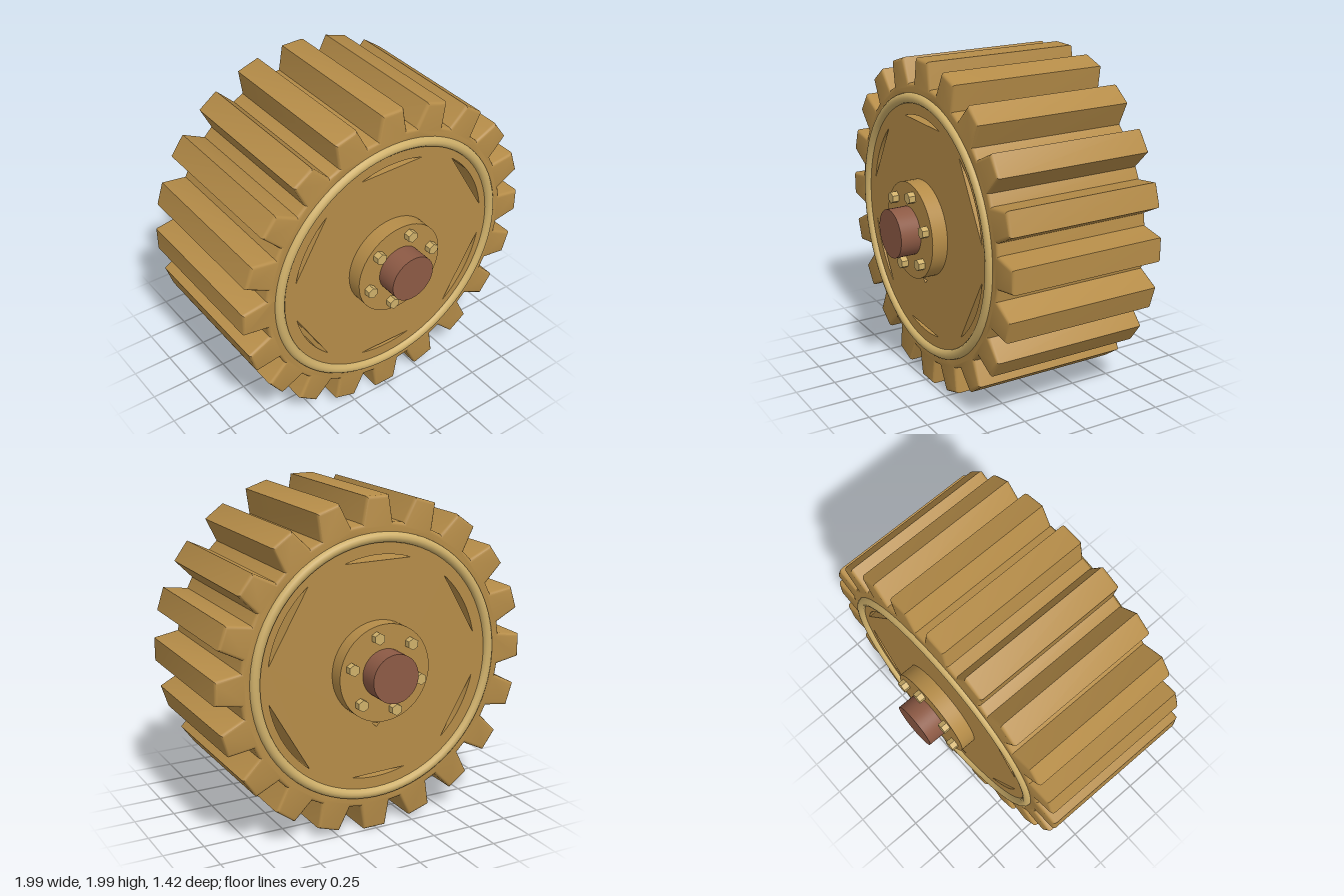
import * as THREE from 'three';
import { toCreasedNormals } from 'three/addons/utils/BufferGeometryUtils.js';

const BRASS = 0xb58c48, TRIM = 0xcfb06a, COPPER = 0x8d5a45;
const rad = THREE.MathUtils.degToRad;
const polar = (r, a) => new THREE.Vector2(r * Math.cos(a), r * Math.sin(a));

export function createModel() {
  const group = new THREE.Group();
  group.position.y = 1;
  const model = new THREE.Group();
  model.add(group);

  const mat = (color) => new THREE.MeshStandardMaterial({ color });
  const brass = mat(BRASS), trim = mat(TRIM), copper = mat(COPPER);

  function add(name, geometry, material, x = 0, y = 0, z = 0) {
    const mesh = new THREE.Mesh(geometry, material);
    mesh.name = name;
    mesh.position.set(x, y, z);
    group.add(mesh);
    return mesh;
  }
  const rod = (r, length, sides) =>
    new THREE.CylinderGeometry(r, r, length, sides).rotateX(Math.PI / 2);

  // Toothed rim: 20 tapered teeth with softened edges
  const outline = [];
  for (let i = 0; i < 20; i++) {
    const a = rad(i * 18);
    for (const [r, d] of [[0.85, -6.6], [1, -4.1], [1, 4.1], [0.85, 6.6]]) {
      outline.push(polar(r, a + rad(d)));
    }
  }
  const rim = new THREE.Shape(outline);
  rim.holes.push(new THREE.Path().absarc(0, 0, 0.762, 0, Math.PI * 2, true));
  const rimGeometry = new THREE.ExtrudeGeometry(rim, {
    depth: 0.94, curveSegments: 48, bevelThickness: 0.02,
    bevelSize: 0.02, bevelOffset: -0.02, bevelSegments: 3,
  }).translate(0, 0, -0.47);
  add('toothedRim', toCreasedNormals(rimGeometry, 0.6), brass);

  // Spoked web: wedge windows between the spokes, the lowest one almost closed
  const web = new THREE.Shape().absarc(0, 0, 0.765, 0, Math.PI * 2, false);
  const spread = rad(41);
  function cutWindow(degrees, apex, radius) {
    const t = Math.sqrt(radius ** 2 - (apex * Math.sin(spread)) ** 2) - apex * Math.cos(spread);
    const half = Math.asin(t * Math.sin(spread) / radius);
    const a = rad(degrees), tip = polar(apex, a);
    const path = new THREE.Path().moveTo(tip.x, tip.y);
    path.absarc(0, 0, radius, a - half, a + half, false);
    path.closePath();
    web.holes.push(path);
  }
  for (const a of [90, 150, 210]) cutWindow(a, 0.39, 0.667);
  for (const a of [30, -30]) cutWindow(a, 0.36, 0.69);
  web.holes.push(new THREE.Path().absarc(0, 0, 0.667, rad(253), rad(284), false));
  web.holes.push(new THREE.Path([
    new THREE.Vector2(-0.025, -0.33), new THREE.Vector2(0, -0.355), new THREE.Vector2(0.025, -0.33),
  ]));
  const webGeometry = new THREE.ExtrudeGeometry(web, {
    depth: 0.98, curveSegments: 40, bevelEnabled: false,
  }).translate(0, 0, -0.49);
  add('spokedWeb', toCreasedNormals(webGeometry, 0.6), brass);

  // Hub and through axle
  add('hub', rod(0.29, 1.17, 48), brass);
  add('axle', rod(0.145, 1.42, 40), copper);

  // Trim rings and hex bolts on both faces
  for (const side of [1, -1]) {
    const end = side > 0 ? 'front' : 'back';
    add(end + 'TrimRing', new THREE.TorusGeometry(0.765, 0.031, 12, 80), trim, 0, 0, side * 0.486);
    for (let i = 0; i < 6; i++) {
      const p = polar(0.226, rad(15 + i * 60));
      const bolt = toCreasedNormals(rod(0.035, 0.06, 6), 0.3);
      add(end + 'Bolt' + (i + 1), bolt, trim, p.x, p.y, side * 0.596);
    }
  }
  return model;
}
